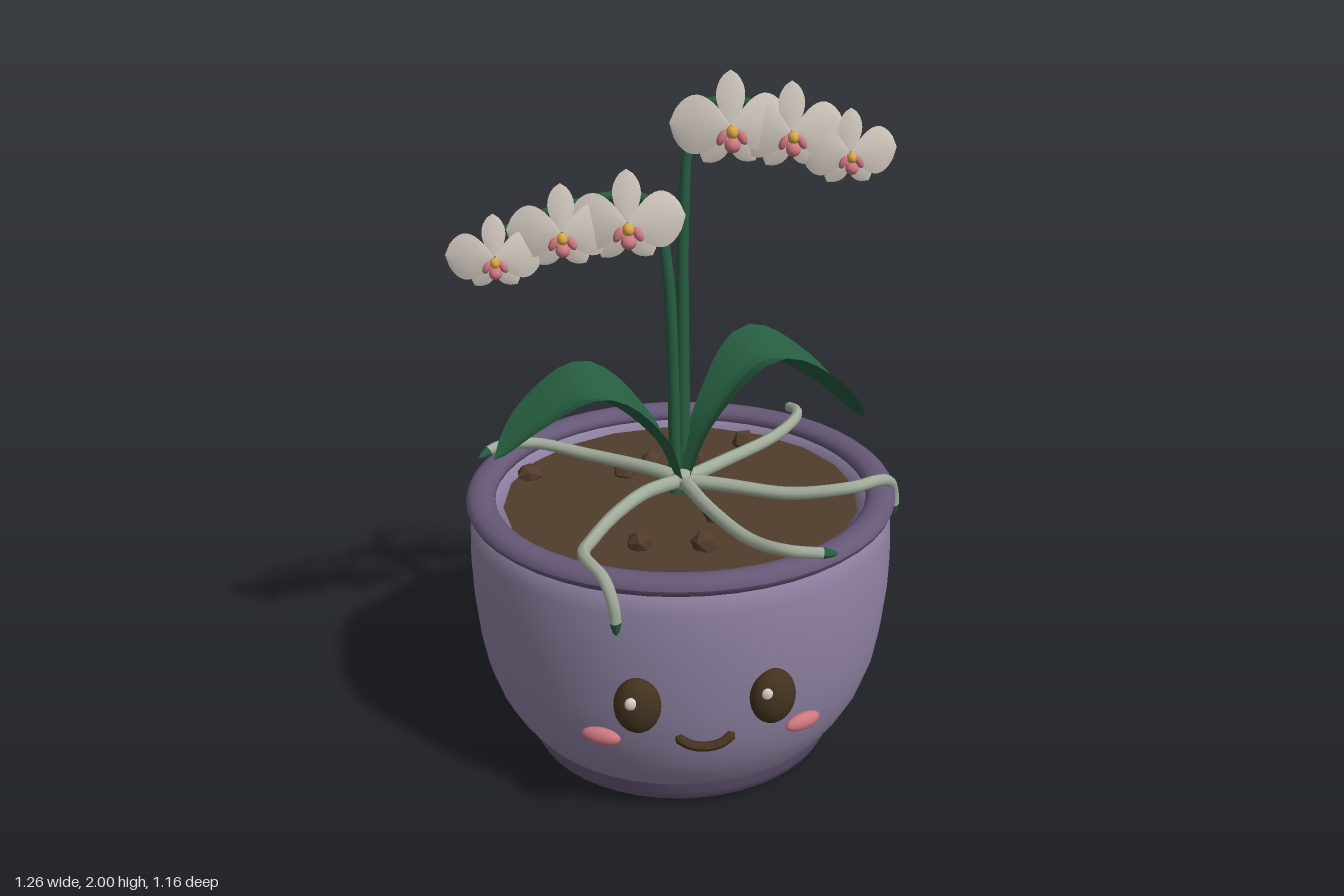
import * as THREE from 'three';

const material = (name, color, extra = {}) => {
  const m = new THREE.MeshStandardMaterial({ color, ...extra });
  m.name = name;
  return m;
};
const V = (p) => new THREE.Vector3(...p);

export function createModel() {
  const root = new THREE.Group();
  root.name = 'pottedOrchid';
  const mat = {
    pot: material('lilac glaze', 0x9082a3),
    trim: material('dark purple glaze', 0x665877),
    soil: material('soil brown', 0x503c2b, { flatShading: true }),
    face: material('dark brown', 0x43331f),
    leaf: material('leaf green', 0x265c40, { side: THREE.DoubleSide }),
    rootSkin: material('pale root', 0xa0aa99),
    petal: material('cream petal', 0xd9d0c6, { side: THREE.DoubleSide }),
    pink: material('pink', 0xce7780),
    yellow: material('yellow', 0xd8a743),
  };
  const add = (parent, name, geometry, m, pos = [0, 0, 0], scale = [1, 1, 1]) => {
    const mesh = new THREE.Mesh(geometry, m);
    mesh.name = name;
    mesh.position.set(...pos);
    mesh.scale.set(...scale);
    parent.add(mesh);
    return mesh;
  };

  // Tube along a curve whose radius follows taper(t)
  const taperedTube = (curve, segments, radius, taper) => {
    const sides = 10;
    const g = new THREE.TubeGeometry(curve, segments, radius, sides);
    const pos = g.attributes.position;
    const p = new THREE.Vector3();
    for (let i = 0; i <= segments; i++) {
      const c = curve.getPointAt(i / segments);
      for (let j = 0; j <= sides; j++) {
        const k = i * (sides + 1) + j;
        p.fromBufferAttribute(pos, k).sub(c).multiplyScalar(taper(i / segments)).add(c);
        pos.setXYZ(k, p.x, p.y, p.z);
      }
    }
    g.computeVertexNormals();
    return g;
  };

  // Pot, slightly shallower than wide
  const pot = new THREE.Group();
  pot.name = 'pot';
  pot.scale.z = 0.92;
  pot.position.set(-0.003, 0, -0.015);
  root.add(pot);
  const lathe = (points) =>
    new THREE.LatheGeometry(points.map(([x, y]) => new THREE.Vector2(x, y)), 48);
  add(pot, 'potBody', lathe([
    [0.475, 0.09], [0.515, 0.145], [0.55, 0.21], [0.58, 0.3], [0.597, 0.4], [0.608, 0.52],
    [0.61, 0.62], [0.606, 0.72], [0.592, 0.79], [0.54, 0.8], [0.515, 0.74], [0.5, 0.6],
    [0.48, 0.3], [0.4, 0.12], [0.13, 0.1],
  ]), mat.pot);
  add(pot, 'potFoot', lathe([
    [0.13, 0.1], [0.14, 0.07], [0.2, 0.04], [0.28, 0.012], [0.36, 0], [0.42, 0.002],
    [0.445, 0.018], [0.46, 0.05], [0.475, 0.09],
  ]), mat.trim);
  const rim = [];
  for (let i = 0; i <= 14; i++) {
    const a = (i / 14) * Math.PI * 2;
    rim.push([0.573 + Math.cos(a) * 0.042, 0.803 + Math.sin(a) * 0.029]);
  }
  add(pot, 'potRim', lathe(rim), mat.trim);
  const soil = add(pot, 'soil', new THREE.CircleGeometry(0.51, 20), mat.soil, [0, 0.775, 0]);
  soil.rotation.x = -Math.PI / 2;

  // Bark chunks
  [[-0.43, -0.2], [-0.15, -0.18], [-0.065, -0.23], [0.065, -0.235], [0.23, -0.33],
    [0.075, 0.12], [-0.15, 0.255], [0.025, 0.28]].forEach(([x, z], i) => {
    const chunk = add(root, 'barkChunk', new THREE.IcosahedronGeometry(0.042, 0), mat.soil,
      [x, 0.785, z], [1, 0.75, 0.9]);
    chunk.rotation.set(i * 0.7, i * 1.9, i * 0.4);
  });

  // Face
  const ball = new THREE.SphereGeometry(1, 24, 16);
  for (const s of [-1, 1]) {
    const ex = s * 0.182 - 0.004;
    const eye = add(root, 'eye', ball, mat.face, [ex, 0.45, 0.527], [0.064, 0.083, 0.045]);
    eye.rotation.y = s * 0.2;
    add(root, 'eyeGlint', ball, mat.petal, [ex - 0.02, 0.48, 0.562], [0.017, 0.019, 0.01]);
    const cheek = add(root, 'cheek', ball, mat.pink, [s * 0.277 - 0.004, 0.323, 0.478], [0.056, 0.025, 0.02]);
    cheek.rotation.y = s * 0.45;
  }
  const smile = new THREE.CatmullRomCurve3(
    [[-0.085, 0.34, 0.528], [-0.045, 0.318, 0.54], [0, 0.311, 0.543], [0.04, 0.318, 0.54], [0.077, 0.34, 0.528]].map(V));
  add(root, 'mouth', taperedTube(smile, 16, 0.014, (t) => (t === 0 || t === 1 ? 0.05 : 1)), mat.face);

  // Aerial roots with green tips
  const roots = [
    [[0, 0.84, 0], [-0.06, 0.845, -0.05], [-0.25, 0.835, -0.2], [-0.415, 0.85, -0.27], [-0.52, 0.858, -0.245], [-0.58, 0.84, -0.205]],
    [[0, 0.84, 0], [-0.11, 0.845, 0.07], [-0.2, 0.84, 0.17], [-0.28, 0.845, 0.32], [-0.31, 0.855, 0.42], [-0.265, 0.84, 0.52], [-0.245, 0.78, 0.555], [-0.24, 0.695, 0.56]],
    [[0, 0.84, 0], [0.055, 0.84, 0.19], [0.14, 0.84, 0.37], [0.22, 0.855, 0.46], [0.35, 0.845, 0.475]],
    [[0, 0.84, 0], [0.12, 0.84, 0.05], [0.29, 0.84, 0.12], [0.455, 0.86, 0.145], [0.56, 0.855, 0.1], [0.605, 0.8, 0.045], [0.618, 0.7, 0.03]],
    [[0, 0.84, 0], [0.13, 0.84, -0.1], [0.305, 0.845, -0.235], [0.39, 0.855, -0.335], [0.405, 0.855, -0.39], [0.38, 0.835, -0.48]],
  ];
  for (const points of roots) {
    const curve = new THREE.CatmullRomCurve3(points.map(V));
    const slice = (a, b) => new THREE.CatmullRomCurve3(
      Array.from({ length: 25 }, (_, i) => curve.getPointAt(a + ((b - a) * i) / 24)));
    const split = 1 - 0.04 / curve.getLength();
    add(root, 'aerialRoot', taperedTube(slice(0, split), 40, 0.021, (t) => 1 - 0.25 * t), mat.rootSkin);
    add(root, 'rootTip', taperedTube(slice(split, 1), 6, 0.016, (t) => Math.sqrt(1.001 - t)), mat.leaf);
  }
  add(root, 'crown', ball, mat.rootSkin, [0, 0.84, 0], [0.035, 0.03, 0.035]);

  // Arching leaves with a channelled cross-section
  const leaf = (points) => {
    const curve = new THREE.CatmullRomCurve3(points.map(V));
    const dir = V(points.at(-1)).sub(V(points[0]));
    const side = new THREE.Vector3(-dir.z, 0, dir.x).normalize();
    const width = new THREE.CatmullRomCurve3(
      [[0, 0.025, 0], [0.25, 0.075, 0], [0.55, 0.138, 0], [0.8, 0.11, 0], [0.93, 0.06, 0], [1, 0.002, 0]].map(V));
    const g = new THREE.PlaneGeometry(1, 1, 8, 28);
    const pos = g.attributes.position;
    for (let k = 0; k < pos.count; k++) {
      const u = pos.getX(k) * 2;
      const s = width.getPoint(pos.getY(k) + 0.5);
      const t = THREE.MathUtils.clamp(s.x, 0, 1);
      const up = side.clone().cross(curve.getTangentAt(t));
      const p = curve.getPointAt(t).addScaledVector(side, u * s.y)
        .addScaledVector(up, s.y * 0.4 * (Math.abs(u) - 0.5));
      pos.setXYZ(k, p.x, p.y, p.z);
    }
    g.computeVertexNormals();
    add(root, 'leaf', g, mat.leaf);
  };
  leaf([[0.005, 0.83, 0], [0.08, 1.03, -0.03], [0.24, 1.19, -0.09], [0.4, 1.11, -0.11], [0.555, 0.945, -0.125]]);
  leaf([[-0.005, 0.83, 0], [-0.08, 1.01, 0.02], [-0.25, 1.16, 0.05], [-0.4, 1.09, 0.065], [-0.53, 0.975, 0.08]]);

  // Petal growing along +y, cupped by moving a grid
  const petal = (length, half, bend) => {
    const g = new THREE.PlaneGeometry(1, 1, 8, 12);
    const pos = g.attributes.position;
    for (let k = 0; k < pos.count; k++) {
      const u = pos.getX(k) * 2;
      const t = pos.getY(k) + 0.5;
      const w = half * Math.pow(Math.max(0.0001, Math.sin(Math.PI * Math.pow(t, 1.25))), 0.65);
      pos.setXYZ(k, u * w, length * t, -bend * t * t - 0.12 * u * u * w);
    }
    g.computeVertexNormals();
    return g;
  };
  const broad = petal(0.158, 0.078, 0.028);
  const dorsal = petal(0.148, 0.038, 0.015);
  const lower = petal(0.115, 0.036, 0.015);
  const flower = (x, y, size) => {
    const f = new THREE.Group();
    f.name = 'flower';
    f.position.set(x, y, 0.005);
    f.scale.setScalar(size);
    root.add(f);
    add(f, 'dorsalSepal', dorsal, mat.petal, [0, 0, -0.004]);
    for (const s of [-1, 1]) {
      add(f, 'broadPetal', broad, mat.petal, [0, 0.003, 0.004]).rotation.z = s * 1.5;
      add(f, 'lowerSepal', lower, mat.petal, [0, 0, -0.006]).rotation.z = s * 2.5;
      const lobe = add(f, 'lipLobe', ball, mat.pink, [s * 0.026, -0.018, 0.02], [0.012, 0.022, 0.012]);
      lobe.rotation.z = s * 0.5;
    }
    add(f, 'lip', ball, mat.pink, [0, -0.036, 0.03], [0.021, 0.02, 0.022]);
    add(f, 'column', ball, mat.yellow, [0, -0.004, 0.022], [0.016, 0.018, 0.02]);
  };

  // Flower spikes with short stalks to each bloom
  const spike = (points, blooms) => {
    const curve = new THREE.CatmullRomCurve3(points.map(V));
    add(root, 'flowerStem', taperedTube(curve, 70, 0.023, (t) => (t === 1 ? 0.05 : 1 - 0.58 * t)), mat.leaf);
    for (const [x, y, size, stemY, stemZ] of blooms) {
      const stalk = new THREE.CatmullRomCurve3([
        [x, stemY, stemZ], [x, stemY - 0.005, stemZ * 0.6], [x, y + 0.012, -0.03], [x, y, 0.005]].map(V));
      add(root, 'flowerStalk', new THREE.TubeGeometry(stalk, 12, 0.007, 8), mat.leaf);
      flower(x, y, size);
    }
  };
  spike([[0.01, 0.77, -0.055], [0.012, 1.2, -0.1], [0.018, 1.6, -0.122], [0.035, 1.8, -0.135],
    [0.07, 1.88, -0.14], [0.125, 1.895, -0.14], [0.285, 1.865, -0.125], [0.445, 1.805, -0.105]],
  [[0.125, 1.855, 1, 1.895, -0.138], [0.285, 1.835, 0.92, 1.865, -0.124], [0.443, 1.775, 0.82, 1.805, -0.105]]);
  spike([[-0.01, 0.77, -0.055], [-0.015, 1.2, -0.1], [-0.03, 1.45, -0.117], [-0.05, 1.57, -0.13],
    [-0.085, 1.63, -0.138], [-0.145, 1.645, -0.138], [-0.32, 1.62, -0.125], [-0.5, 1.56, -0.105]],
  [[-0.147, 1.605, 1, 1.645, -0.138], [-0.32, 1.585, 0.92, 1.62, -0.125], [-0.498, 1.525, 0.82, 1.56, -0.105]]);

  return root;
}
